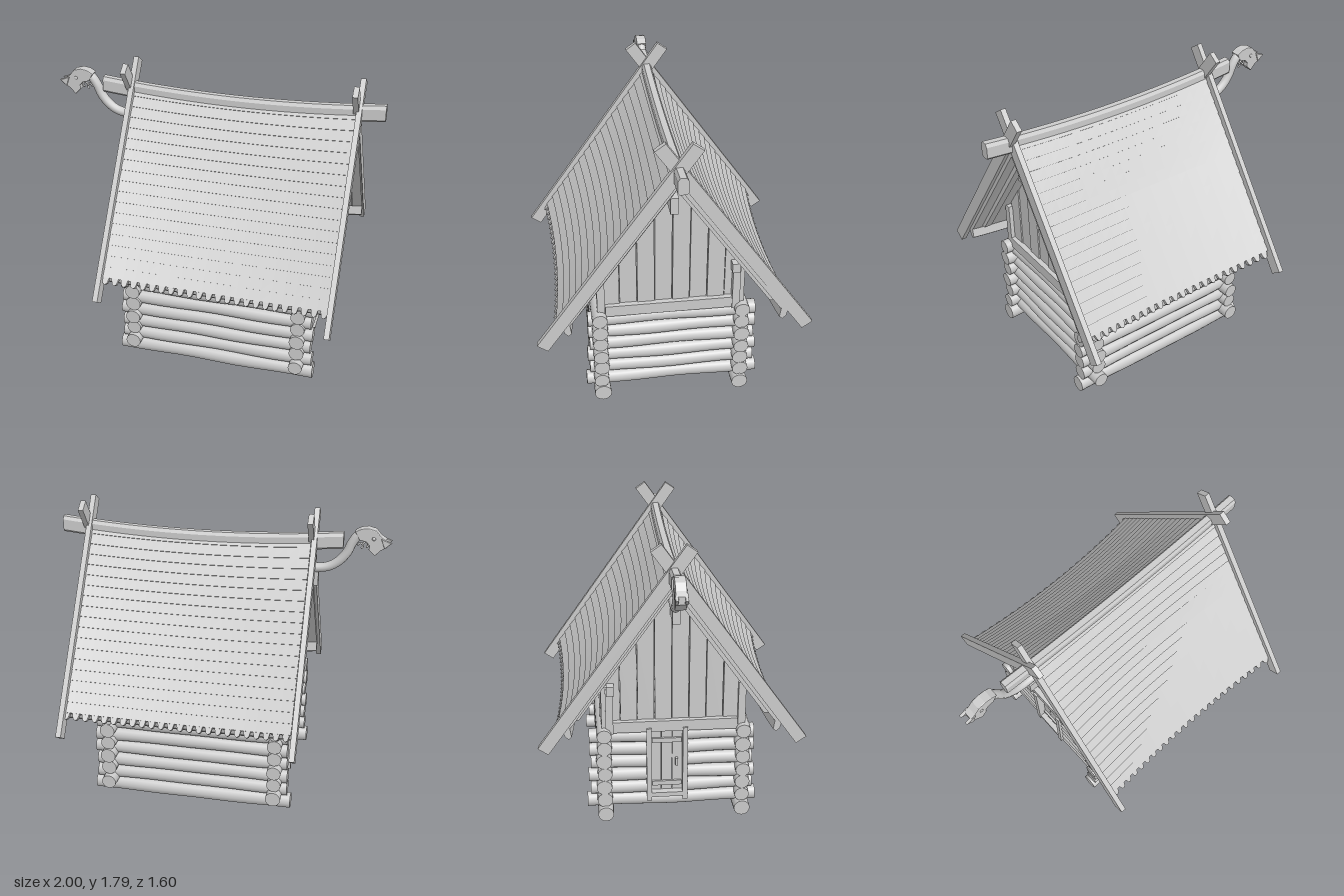
import * as THREE from 'three';
import { mergeGeometries, toCreasedNormals } from 'three/addons/utils/BufferGeometryUtils.js';

const mat = new THREE.MeshStandardMaterial({ color: 0xcccccc, side: THREE.DoubleSide });
const MID = 0.155, HALF = 0.685;          // roof centre and half length along x
const DZ = 0.58, DY = 0.815, APEX = 1.632; // roof slope direction and apex height
const DOOR_Z = -0.03;

let seed = 7;
const rnd = (a) => { seed = (seed * 16807) % 2147483647; return (seed / 2147483647 - 0.5) * 2 * a; };

function add(parent, name, geo, x = 0, y = 0, z = 0) {
  const m = new THREE.Mesh(geo, mat);
  m.name = name;
  m.position.set(x, y, z);
  parent.add(m);
  return m;
}
const box = (p, name, w, h, d, x, y, z) => add(p, name, new THREE.BoxGeometry(w, h, d), x, y, z);

// Move every vertex by a rule
function warp(geo, rule) {
  const p = geo.attributes.position, v = new THREE.Vector3();
  for (let i = 0; i < p.count; i++) {
    rule(v.fromBufferAttribute(p, i));
    p.setXYZ(i, v.x, v.y, v.z);
  }
  geo.computeVertexNormals();
  return geo;
}

// Roof sag towards the middle, local x in [-HALF, HALF]
function sag(v) {
  const k = 1 - (v.x / HALF) ** 2;
  v.y -= 0.025 * k;
  v.z -= 0.035 * k * Math.max(-1, Math.min(1, v.z / 0.3));
}

// Extrude a (z, y) outline along x from x0 to x1
function alongX(pts, x0, x1, steps = 1) {
  const shape = new THREE.Shape(pts.map(([z, y]) => new THREE.Vector2(-z, y)));
  const g = new THREE.ExtrudeGeometry(shape, { depth: x1 - x0, steps, bevelEnabled: false });
  return g.rotateY(Math.PI / 2).translate(x0, 0, 0);
}
// Point on the front slope: s down the slope, h outwards
const onSlope = (s, h) => [DZ * s + DY * h, APEX - DY * s + DZ * h];

// Round log with a slightly uneven surface
function log(parent, axis, a, b, y, off, r) {
  const ph = rnd(3), g = new THREE.CylinderGeometry(r, r, b - a, 16, 10);
  const p = g.attributes.position;
  for (let i = 0; i < p.count; i++) {
    const t = p.getY(i), k = 1 + 0.04 * Math.sin(t * 11 + ph);
    p.setXYZ(i, p.getX(i) * k, t, p.getZ(i) * k + 0.003 * Math.sin(t * 7 + ph));
  }
  const m = add(parent, 'log', g);
  if (axis === 'x') { m.rotation.z = -Math.PI / 2; m.position.set((a + b) / 2, y, off); }
  else { m.rotation.x = Math.PI / 2; m.position.set(off, y, (a + b) / 2); }
}

function makeWalls() {
  const g = new THREE.Group();
  g.name = 'logWalls';
  for (let i = 0; i < 7; i++) {
    for (const z of [-0.412, 0.43]) {
      const e = i ? 0 : 0.01;
      log(g, 'x', -0.49 - e + rnd(0.008), 0.715 + e + rnd(0.008), 0.057 + 0.0885 * i, z, i ? 0.046 : 0.05);
    }
    if (i > 5) continue;
    const y = 0.115 + 0.0885 * i, e = 0.5 + (i ? rnd(0.01) : 0.02);
    log(g, 'z', -e, e, y, 0.63, 0.045);
    if (i === 0) log(g, 'z', -e, e, y, -0.41, 0.045);
    else for (const s of [-1, 1]) log(g, 'z', s < 0 ? -e : DOOR_Z + 0.11, s < 0 ? DOOR_Z - 0.11 : e, y, -0.41, 0.045);
  }
  for (const x of [-0.42, 0.64]) box(g, 'tieBeam', 0.075, 0.07, 0.78, x, 0.63, 0.005);
  return g;
}

function makeDoor() {
  const g = new THREE.Group();
  g.name = 'door';
  g.position.z = DOOR_Z;
  for (let i = 0; i < 3; i++) box(g, 'doorBoard', 0.025, 0.45, 0.063, -0.41, 0.375, -0.066 + 0.066 * i);
  for (const z of [-0.11, 0.11]) box(g, 'doorPost', 0.1, 0.5, 0.03, -0.42, 0.37, z);
  for (const y of [0.22, 0.52]) box(g, 'doorBatten', 0.015, 0.03, 0.18, -0.428, y, 0);
  box(g, 'doorSill', 0.09, 0.03, 0.23, -0.42, 0.155, 0);
  box(g, 'doorHandle', 0.02, 0.05, 0.015, -0.432, 0.37, 0.06);
  return g;
}

// Vertical boards closing both gables and the strip above the long walls
function makeBoarding() {
  const g = new THREE.Group();
  g.name = 'boarding';
  const top = (z) => 1.5 - 1.405 * Math.abs(z), w = 0.103;
  for (const x of [-0.41, 0.63]) {
    for (let i = -4; i < 4; i++) {
      const a = i * w + 0.002, b = (i + 1) * w - 0.002, d = (i & 1) * 0.006;
      const plank = alongX([[a, 0.6], [b, 0.6], [b, top(b)], [a, top(a)]], x - 0.014 - d, x + 0.014 + d);
      add(g, 'gablePlank', plank);
    }
    // Corner posts and the bracket beside them
    const out = x < 0 ? -0.035 : 0.035;
    for (const z of [-0.4, 0.42]) box(g, 'cornerPost', 0.05, 0.3, 0.045, x + out * 0.6, 0.75, z);
    box(g, 'bracketPost', 0.04, 0.3, 0.045, x + out, 0.74, -0.375);
    box(g, 'bracketCap', 0.06, 0.06, 0.045, x + out, 0.88, -0.367);
  }
  for (const z of [-0.412, 0.42])
    for (let i = 0; i < 10; i++)
      box(g, 'sidePlank', 0.1, 0.31, 0.026 + 0.01 * (i & 1), -0.358 + 0.104 * i, 0.745, z);
  return g;
}

function makeRoof() {
  const roof = new THREE.Group();
  roof.name = 'roof';
  roof.position.x = MID;

  // Stepped covering: a saw-tooth outline carried along the sagging roof
  const rows = 18, len = 1.175, pts = [];
  for (let i = 0; i < rows; i++)
    pts.push(onSlope(i * len / rows, 0.004), onSlope((i + 1) * len / rows, 0.011));
  pts.push(onSlope(len, -0.03), onSlope(1.12, -0.06), onSlope(0.084, -0.06));
  const cover = warp(alongX(pts, -HALF, HALF, 20), sag);

  // Row of rounded board ends along the eave
  const teeth = [], n = 24, pitch = 2 * HALF / n;
  for (let i = 0; i < n; i++) {
    const c = -HALF + (i + 0.5) * pitch;
    const outline = [[-0.02, 1.13], [-0.02, 1.18], [-0.013, 1.208], [0, 1.216], [0.013, 1.208], [0.02, 1.18], [0.02, 1.13]];
    const shape = new THREE.Shape(outline.map(([x, s]) => new THREE.Vector2(c + x, -s)));
    const t = new THREE.ExtrudeGeometry(shape, { depth: 0.024, bevelEnabled: false }).translate(0, 0, -0.018);
    teeth.push(warp(t, (v) => {
      const [z, y] = onSlope(-v.y, v.z);
      v.set(v.x, y, z);
      sag(v);
    }));
  }
  const toothRow = mergeGeometries(teeth);

  // Beam under the eave
  const eaveLine = [[0.612, 0.7], [0.652, 0.68], [0.64, 0.625], [0.618, 0.605], [0.6, 0.62]];
  const eave = warp(alongX(eaveLine, -HALF, HALF, 20), sag);

  for (const turn of [0, Math.PI]) {
    const side = new THREE.Group();
    side.name = turn ? 'backSlope' : 'frontSlope';
    side.rotation.y = turn;
    add(side, 'covering', cover);
    add(side, 'eaveTeeth', toothRow);
    add(side, 'eaveBeam', eave);
    // Crossing bargeboards, each pair set slightly apart
    for (const x of turn ? [-0.675, 0.706] : [-0.688, 0.693]) {
      const b = box(side, 'bargeboard', 0.032, 1.5, 0.074, x, 1.161, 0.335);
      b.rotation.x = -0.618;
    }
    // Rafters under the overhangs
    for (const x of [-0.6, 0.6]) {
      const r = [onSlope(0.084, -0.06), onSlope(1.1, -0.06), onSlope(1.08, -0.09), onSlope(0.126, -0.09)];
      add(side, 'rafter', alongX(r, x - 0.025, x + 0.025));
    }
    roof.add(side);
  }

  // Curved ridge beam with softened edges, and the purlin below it
  const ridge = [[-0.03, 1.575], [-0.02, 1.563], [0.02, 1.563], [0.03, 1.575], [0.03, 1.64], [0.018, 1.66], [-0.018, 1.66], [-0.03, 1.64]];
  const ridgeGeo = warp(alongX(ridge, -0.875, 0.845, 24), (v) => { v.y -= 0.028 * (1 - (v.x / HALF) ** 2); });
  add(roof, 'ridgeBeam', toCreasedNormals(ridgeGeo, 0.5));
  box(roof, 'purlin', 1.37, 0.1, 0.045, -0.05, 1.385, 0.012);
  return roof;
}

// Carved beast head on a curved neck
function makeCarving() {
  const g = new THREE.Group();
  g.name = 'carvedHead';
  const path = new THREE.CatmullRomCurve3([[-0.5, 1.45], [-0.58, 1.448], [-0.645, 1.463], [-0.7, 1.5], [-0.743, 1.555],
    [-0.772, 1.62], [-0.81, 1.668], [-0.87, 1.68]].map(([x, y]) => new THREE.Vector3(x, y, 0)));
  add(g, 'neck', new THREE.TubeGeometry(path, 40, 0.028, 12));
  const ex = (pts, depth, name, z = 0) => {
    const s = new THREE.Shape(pts.map(([x, y]) => new THREE.Vector2(x, y)));
    const e = new THREE.ExtrudeGeometry(s, { depth, bevelSize: 0.004, bevelThickness: 0.006, bevelSegments: 2 });
    add(g, name, e, 0, 0, z - depth / 2);
  };
  ex([[-0.79, 1.688], [-0.82, 1.705], [-0.86, 1.712], [-0.905, 1.7], [-0.935, 1.665], [-0.965, 1.645], [-0.965, 1.605],
    [-0.935, 1.588], [-0.905, 1.555], [-0.872, 1.588], [-0.875, 1.612], [-0.855, 1.635], [-0.815, 1.645]], 0.05, 'head');
  for (const z of [-0.026, 0.026]) {
    ex([[-0.94, 1.655], [-0.996, 1.634], [-0.96, 1.602]], 0.006, 'snoutTip', z);
    const eye = add(g, 'eye', new THREE.SphereGeometry(0.011, 12, 8), -0.895, 1.655, z * 1.2);
    eye.scale.z = 0.6;
  }
  // Curled mane under the throat
  for (const [x, y] of [[-0.848, 1.608], [-0.818, 1.6]]) {
    add(g, 'maneCurl', new THREE.TorusGeometry(0.015, 0.006, 8, 16, 4.5), x, y, 0);
  }
  return g;
}

export function createModel() {
  const model = new THREE.Group();
  model.name = 'logStorehouse';
  model.add(makeWalls(), makeDoor(), makeBoarding(), makeRoof(), makeCarving());
  return model;
}
